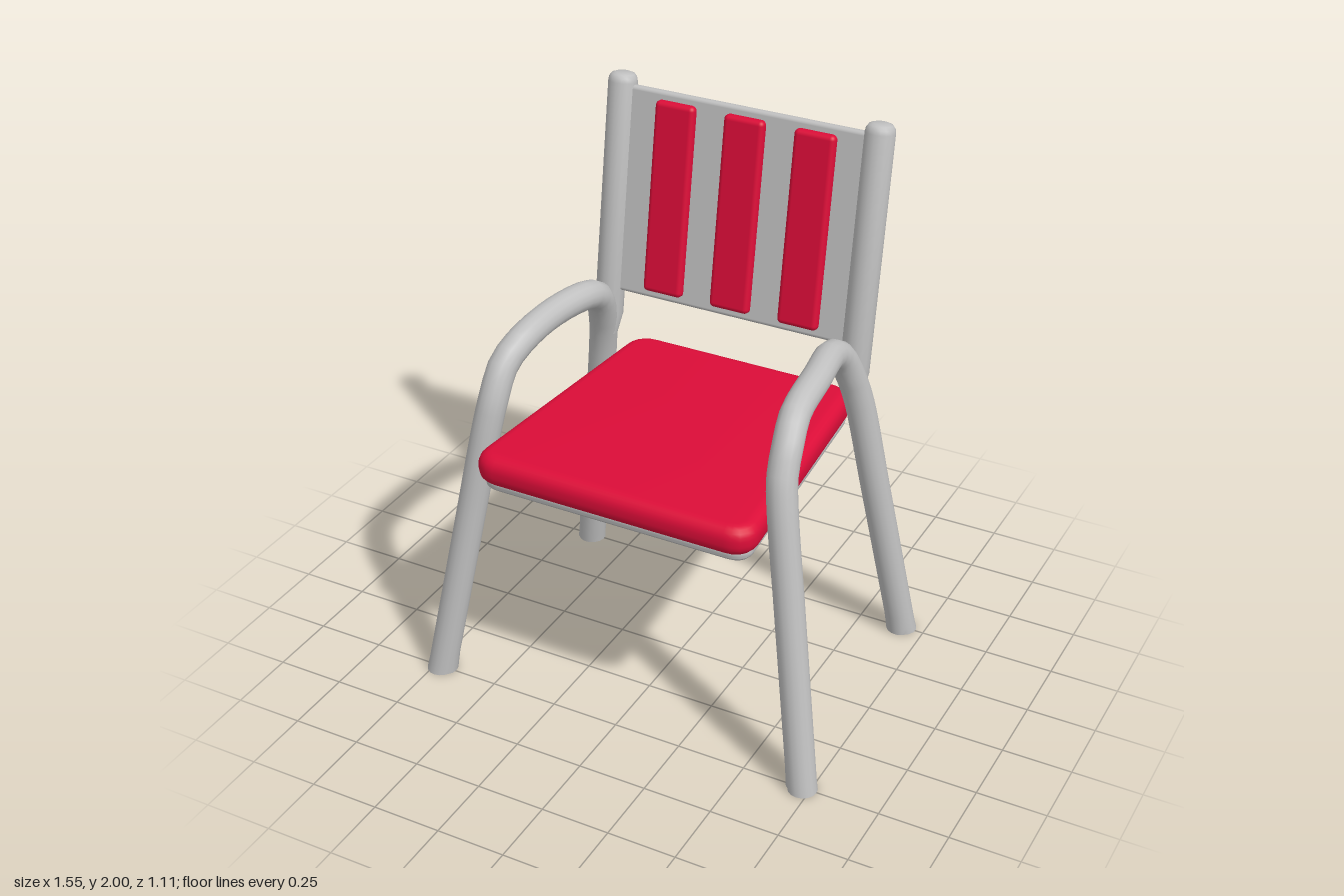
import * as THREE from 'three';
import { toCreasedNormals } from 'three/addons/utils/BufferGeometryUtils.js';
import { RoundedBoxGeometry } from 'three/addons/geometries/RoundedBoxGeometry.js';

const TUBE_R = 0.052;

function addMesh(parent, name, geometry, material) {
  const mesh = new THREE.Mesh(geometry, material);
  mesh.name = name;
  parent.add(mesh);
  return mesh;
}

// Slab tapering towards the back, with rounded corners and bevelled rims
function slabGeometry(front, back, zFront, zBack, yLow, yHigh, bevel) {
  const corners = [[-front, -zFront], [front, -zFront], [back, -zBack], [-back, -zBack]]
    .map(([x, y]) => new THREE.Vector2(x - Math.sign(x) * bevel, y - Math.sign(y) * bevel));
  const shape = new THREE.Shape();
  corners.forEach((c, i) => {
    const toPrev = corners[(i + 3) % 4].clone().sub(c).setLength(0.05).add(c);
    const toNext = corners[(i + 1) % 4].clone().sub(c).setLength(0.05).add(c);
    if (i === 0) shape.moveTo(toPrev.x, toPrev.y);
    else shape.lineTo(toPrev.x, toPrev.y);
    shape.quadraticCurveTo(c.x, c.y, toNext.x, toNext.y);
  });
  shape.closePath();
  const geometry = new THREE.ExtrudeGeometry(shape, {
    depth: yHigh - yLow - 2 * bevel, curveSegments: 5,
    bevelEnabled: true, bevelThickness: bevel, bevelSize: bevel, bevelSegments: 5,
  });
  geometry.rotateX(-Math.PI / 2).translate(0, yLow + bevel, 0);
  return toCreasedNormals(geometry, 0.7);
}

// One bent tube: front leg, armrest and back leg
function legFrameGeometry(side) {
  const frontFoot = new THREE.Vector3(0.72, 0, 0.5), frontTop = new THREE.Vector3(0.558, 1.0, 0.367);
  const backFoot = new THREE.Vector3(0.665, 0, -0.5), backTop = new THREE.Vector3(0.512, 1.0, -0.357);
  const legSteps = [-0.02, 0.33, 0.66, 1];
  const points = [
    ...legSteps.map((t) => frontFoot.clone().lerp(frontTop, t)),
    ...[[0.543, 1.1, 0.342], [0.535, 1.2, 0.285], [0.518, 1.255, 0.2], [0.5, 1.28, 0],
      [0.47, 1.267, -0.19], [0.473, 1.22, -0.265], [0.492, 1.11, -0.325]]
      .map((p) => new THREE.Vector3(...p)),
    ...legSteps.reverse().map((t) => backFoot.clone().lerp(backTop, t)),
  ];
  points.forEach((p) => { p.x *= side; });
  const geometry = new THREE.TubeGeometry(new THREE.CatmullRomCurve3(points), 60, TUBE_R, 16);
  // Cut the feet level with the floor
  const pos = geometry.attributes.position;
  for (let i = 0; i < pos.count; i++) if (pos.getY(i) < 0.03) pos.setY(i, 0);
  return geometry;
}

export function createModel() {
  const model = new THREE.Group();
  model.name = 'armchair';
  const red = new THREE.MeshStandardMaterial({ color: 0xdc0d38 });
  red.name = 'red cushion';
  const grey = new THREE.MeshStandardMaterial({ color: 0xc0c0c0 });
  grey.name = 'light grey frame';

  // Seat cushion on its base plate
  addMesh(model, 'seatCushion', slabGeometry(0.525, 0.445, 0.545, -0.49, 0.875, 0.985, 0.045), red);
  addMesh(model, 'seatBase', slabGeometry(0.505, 0.43, 0.52, -0.478, 0.847, 0.9, 0.022), grey);

  // Leg frames with closed feet
  for (const side of [1, -1]) {
    const label = side > 0 ? 'left' : 'right';
    addMesh(model, label + 'LegFrame', legFrameGeometry(side), grey);
    for (const [name, x, z] of [['FrontFoot', 0.72, 0.5], ['BackFoot', 0.665, -0.5]]) {
      const cap = addMesh(model, label + name, new THREE.CircleGeometry(TUBE_R, 16), grey);
      cap.rotation.x = Math.PI / 2;
      cap.position.set(side * x, 0, z);
    }
  }

  // Backrest, leaning backwards
  const backrest = new THREE.Group();
  backrest.name = 'backrest';
  backrest.position.set(0, 1.1, -0.354);
  backrest.rotation.x = -0.151;
  model.add(backrest);

  const postProfile = [[0, -0.06], [0.035, -0.06], [0.052, 0.02], [0.052, 0.875],
    [0.049, 0.89], [0.041, 0.901], [0.028, 0.906], [0, 0.906]]
    .map(([r, y]) => new THREE.Vector2(r, y));
  for (const side of [1, -1]) {
    const post = addMesh(backrest, side > 0 ? 'leftPost' : 'rightPost',
      toCreasedNormals(new THREE.LatheGeometry(postProfile, 16), 0.8), grey);
    post.position.x = side * 0.485;
  }

  const panel = addMesh(backrest, 'backPanel', new RoundedBoxGeometry(0.94, 0.756, 0.034, 3, 0.014), grey);
  panel.position.y = 0.491;

  for (const x of [-0.26, 0.004, 0.267]) {
    const strip = addMesh(backrest, 'backPad', new RoundedBoxGeometry(0.152, 0.696, 0.05, 4, 0.018), red);
    strip.position.set(x, 0.492, 0.018);
  }
  return model;
}
